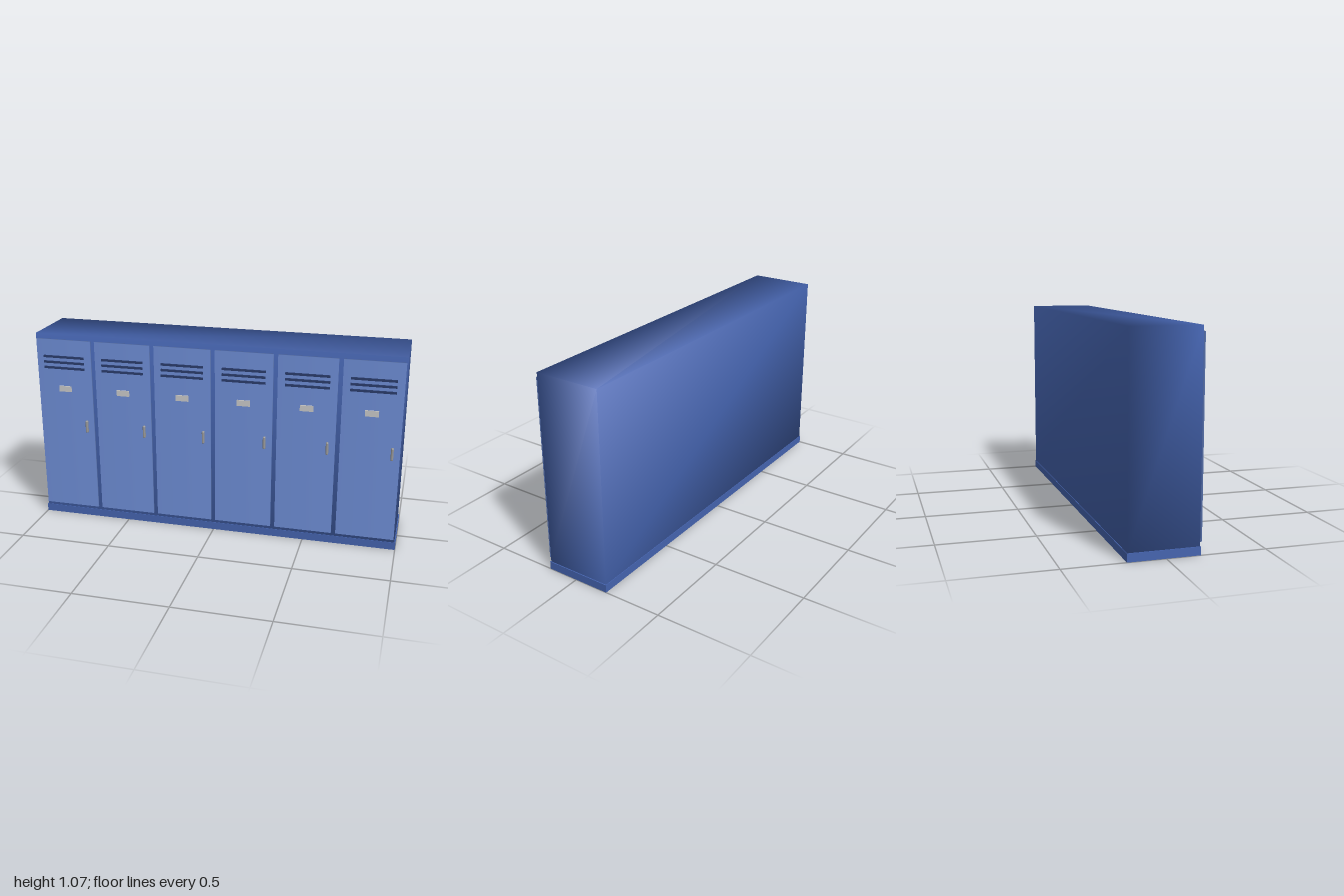
import * as THREE from 'three';
import { mergeVertices } from 'three/addons/utils/BufferGeometryUtils.js';
import { RoundedBoxGeometry } from 'three/addons/geometries/RoundedBoxGeometry.js';

const material = (color) => new THREE.MeshStandardMaterial({ color });

// Box with corner normals shared between faces, for soft shading
function softBox(w, h, d) {
  const g = new THREE.BoxGeometry(w, h, d);
  g.deleteAttribute('normal');
  g.deleteAttribute('uv');
  const merged = mergeVertices(g);
  merged.computeVertexNormals();
  return merged;
}

function addPart(parent, name, geometry, mat, x, y, z) {
  const mesh = new THREE.Mesh(geometry, mat);
  mesh.name = name;
  mesh.position.set(x, y, z);
  parent.add(mesh);
  return mesh;
}

export function createModel() {
  const model = new THREE.Group();
  model.name = 'lockerRow';

  const bodyMat = material(0x4564b0);
  const doorMat = material(0x6f8fd8);
  const ventMat = material(0x2a3c6c);
  const labelMat = material(0xcccccc);
  const handleMat = material(0x999999);

  // Plinth and cabinet
  addPart(model, 'plinth', new THREE.BoxGeometry(2, 0.042, 0.36), bodyMat, 0, 0.021, -0.01);
  addPart(model, 'cabinet', softBox(1.99, 1.023, 0.354), bodyMat, 0, 0.5535, -0.01);

  const doorGeo = softBox(0.31, 0.975, 0.014);
  const ventGeo = new THREE.BoxGeometry(0.232, 0.012, 0.01);
  const labelGeo = new THREE.BoxGeometry(0.07, 0.032, 0.008);
  const handleGeo = new RoundedBoxGeometry(0.014, 0.07, 0.018, 3, 0.006);

  // Six identical doors, each with vents, a label plate and a handle
  for (let i = 0; i < 6; i++) {
    const locker = new THREE.Group();
    locker.name = `locker${i + 1}`;
    locker.position.x = (i - 2.5) * 0.334;
    addPart(locker, 'door', doorGeo, doorMat, 0, 0.5495, 0.171);
    for (let v = 0; v < 3; v++) {
      addPart(locker, 'vent', ventGeo, ventMat, 0, 0.942 - v * 0.031, 0.18);
    }
    addPart(locker, 'labelPlate', labelGeo, labelMat, 0, 0.762, 0.18);
    addPart(locker, 'handle', handleGeo, handleMat, 0.115, 0.551, 0.182);
    model.add(locker);
  }
  return model;
}
